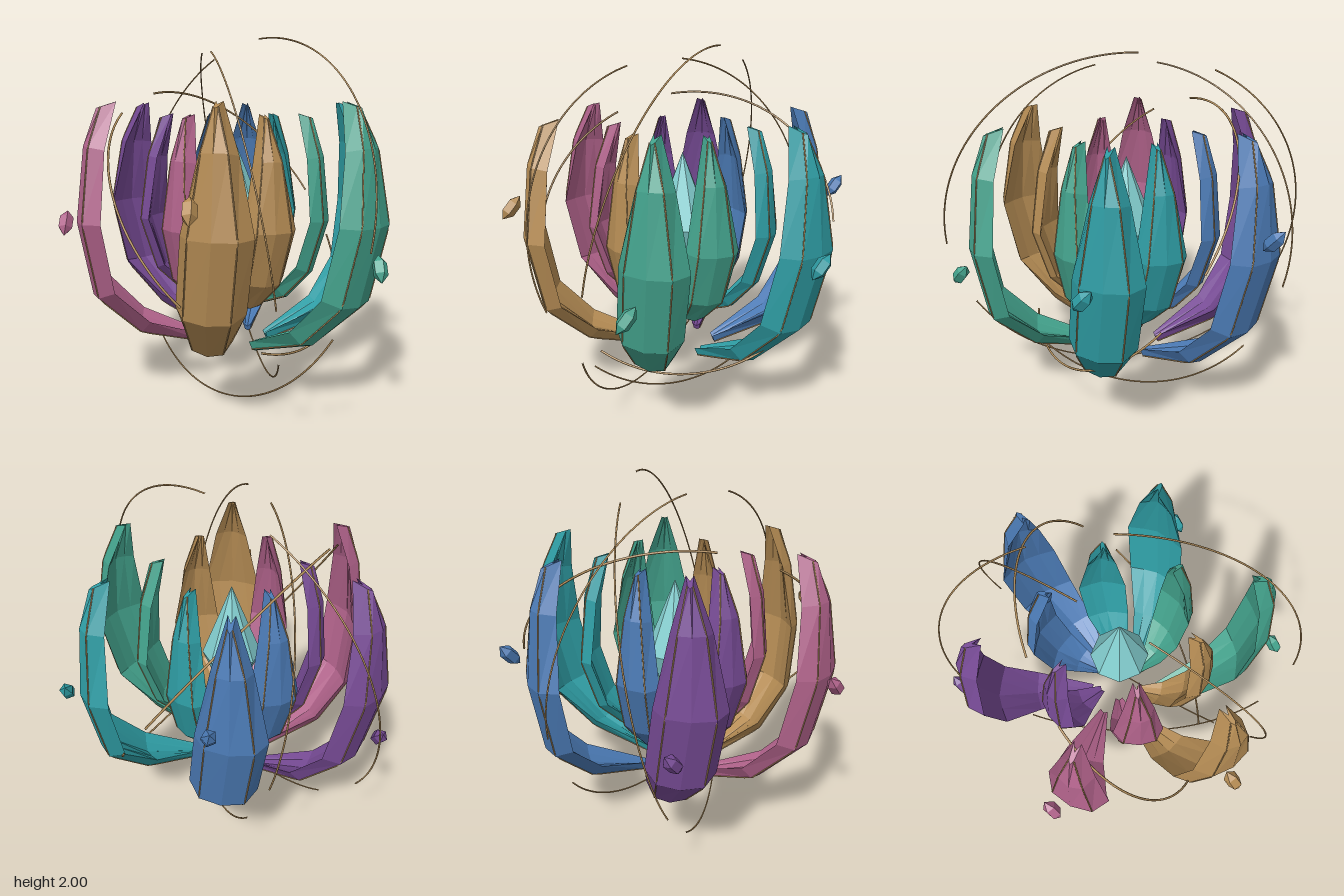
import * as THREE from 'three';

const mat = (name, color) => {
  const m = new THREE.MeshStandardMaterial({ color });
  m.name = name;
  return m;
};

// Non-indexed geometry with face normals for the faceted look
const facet = (g) => {
  const f = g.index ? g.toNonIndexed() : g;
  f.computeVertexNormals();
  return f;
};

// Cross-section of a petal: [fraction of half width, depth outwards]
const SECTION = [[1, -0.055], [0.66, 0.035], [0, 0.058], [-0.66, 0.035],
  [-1, -0.055], [-0.5, -0.025], [0, -0.005], [0.5, -0.025]];

// Rings from root to tip: [radius, height, sideways shift, half width, depth scale]
const OUTER = [[0.18, 0.26, 0.042, 0.026, 0.5], [0.545, 0.4, 0.022, 0.125, 0.9], [0.765, 0.63, -0.034, 0.178, 1],
  [0.836, 1.02, -0.082, 0.18, 1], [0.795, 1.4, -0.083, 0.098, 0.92], [0.722, 1.62, -0.073, 0.018, 0.95]];
const INNER = [[0.13, 0.5, 0.02, 0.022, 0.45], [0.285, 0.56, 0.01, 0.08, 0.7], [0.412, 0.7, -0.02, 0.128, 0.75],
  [0.492, 0.98, -0.042, 0.14, 0.75], [0.458, 1.33, -0.04, 0.08, 0.72], [0.395, 1.56, -0.03, 0.015, 0.72]];

function petalRings(rings) {
  const last = rings.length - 1;
  return rings.map(([r, y, shift, w, depth], i) => {
    const a = rings[Math.max(i - 1, 0)], b = rings[Math.min(i + 1, last)];
    const len = Math.hypot(b[0] - a[0], b[1] - a[1]);
    const nx = (b[1] - a[1]) / len;
    // the tip is cut so that its inner side stands higher
    const ny = i === last ? -0.3 : (a[0] - b[0]) / len;
    return SECTION.map(([f, d]) => {
      // slight roll of the section around the petal's spine
      const out = d * depth - f * w * 0.06;
      return new THREE.Vector3(r + nx * out, y + ny * out, shift + f * w);
    });
  });
}

function petalGeometry(rings) {
  const n = SECTION.length, index = [], last = (rings.length - 1) * n;
  for (let i = 0; i < rings.length - 1; i++) {
    for (let j = 0; j < n; j++) {
      const a = i * n + j, b = i * n + (j + 1) % n;
      index.push(a, b, b + n, a, b + n, a + n);
    }
  }
  // end caps, fanned from the inner crease
  for (let k = 1; k < n - 1; k++) {
    const p = (6 + k) % n, q = (7 + k) % n;
    index.push(6, q, p, last + 6, last + p, last + q);
  }
  const g = new THREE.BufferGeometry().setFromPoints(rings.flat());
  g.setIndex(index);
  return facet(g);
}

// Thin bronze line along one ridge of a petal
function trimGeometry(rings, j) {
  const path = new THREE.CurvePath();
  for (let i = 0; i < rings.length - 1; i++) path.add(new THREE.LineCurve3(rings[i][j], rings[i + 1][j]));
  return new THREE.TubeGeometry(path, 30, 0.004, 5);
}

export function createModel() {
  const model = new THREE.Group();
  model.name = 'crystalBlossom';
  const colours = [mat('teal', 0x2e9ca3), mat('green', 0x43a28c), mat('ochre', 0xb58c54),
    mat('rose', 0xb0628a), mat('violet', 0x764a94), mat('blue', 0x4a79b3)];
  const bronze = mat('bronze', 0xb8935f);
  const aqua = mat('aqua', 0x84cfd0);

  const add = (parent, name, geometry, material) => {
    const mesh = new THREE.Mesh(geometry, material);
    mesh.name = name;
    parent.add(mesh);
    return mesh;
  };

  // Two whorls of six petals, each with bronze trim along its ridges
  for (const [name, table, offset] of [['outerPetal', OUTER, 0], ['innerPetal', INNER, -30]]) {
    const rings = petalRings(table);
    const body = petalGeometry(rings);
    const trims = [1, 3].map((j) => trimGeometry(rings, j));
    colours.forEach((colour, i) => {
      const petal = new THREE.Group();
      petal.name = name;
      petal.rotation.y = -THREE.MathUtils.degToRad(i * 60 + offset);
      add(petal, 'petalBody', body, colour);
      trims.forEach((t) => add(petal, 'petalTrim', t, bronze));
      model.add(petal);
    });
  }

  // Central crystal
  const core = [[0, 0.58], [0.167, 1.0], [0, 1.42]].map((p) => new THREE.Vector2(...p));
  add(model, 'coreCrystal', facet(new THREE.LatheGeometry(core, 8, Math.PI / 8)), aqua);

  // Small floating shards outside the petals
  const shard = facet(new THREE.LatheGeometry(
    [[0, -0.078], [0.037, -0.032], [0.037, 0.032], [0, 0.078]].map((p) => new THREE.Vector2(...p)), 5));
  const lean = new THREE.Vector3(0.2, 0.76, -0.62).normalize();
  colours.forEach((colour, i) => {
    const a = i * Math.PI / 3;
    const m = add(model, 'floatingShard', shard, colour);
    m.position.set(0.945 * Math.cos(a), [1, 0.835, 1.165][i % 3], 0.945 * Math.sin(a));
    m.quaternion.setFromUnitVectors(new THREE.Vector3(0, 1, 0), lean);
  });

  // Three broken orbit rings: radius, wire thickness, then start and end directions of three arcs
  const orbits = [
    [1.015, 0.0045, [[0.18, 1, -0.1], [0.34, -0.05, 0.96]], [[0.2, -0.47, 0.88], [-0.36, -0.81, -0.5]],
      [[0.02, 0.91, -0.47], [-0.42, -0.54, -0.78]]],
    [0.935, 0.0045, [[-0.2, 0.89, 0.22], [-0.09, -0.3, 0.88]], [[-0.15, 0.92, -0.14], [0.2, -0.2, -0.9]],
      [[0.01, -0.65, 0.67], [0.22, -0.56, -0.71]]],
    [0.85, 0.006, [[-0.41, 0.69, -0.3], [0.67, 0.05, -0.51]], [[-0.62, 0.57, -0.05], [-0.47, -0.32, 0.62]],
      [[-0.05, -0.62, 0.58], [0.75, -0.23, -0.33]]],
  ];
  for (const [radius, thickness, ...arcs] of orbits) {
    for (const [from, to] of arcs) {
      const a = new THREE.Vector3(...from).normalize(), b = new THREE.Vector3(...to).normalize();
      const axis = a.clone().cross(b).normalize(), angle = a.angleTo(b), points = [];
      for (let i = 0; i <= 24; i++) {
        const p = a.clone().applyAxisAngle(axis, angle * i / 24).multiplyScalar(radius);
        points.push(p.setY(p.y + 1));
      }
      const path = new THREE.CatmullRomCurve3(points);
      add(model, 'orbitArc', new THREE.TubeGeometry(path, 48, thickness, 6), bronze);
    }
  }
  return model;
}
